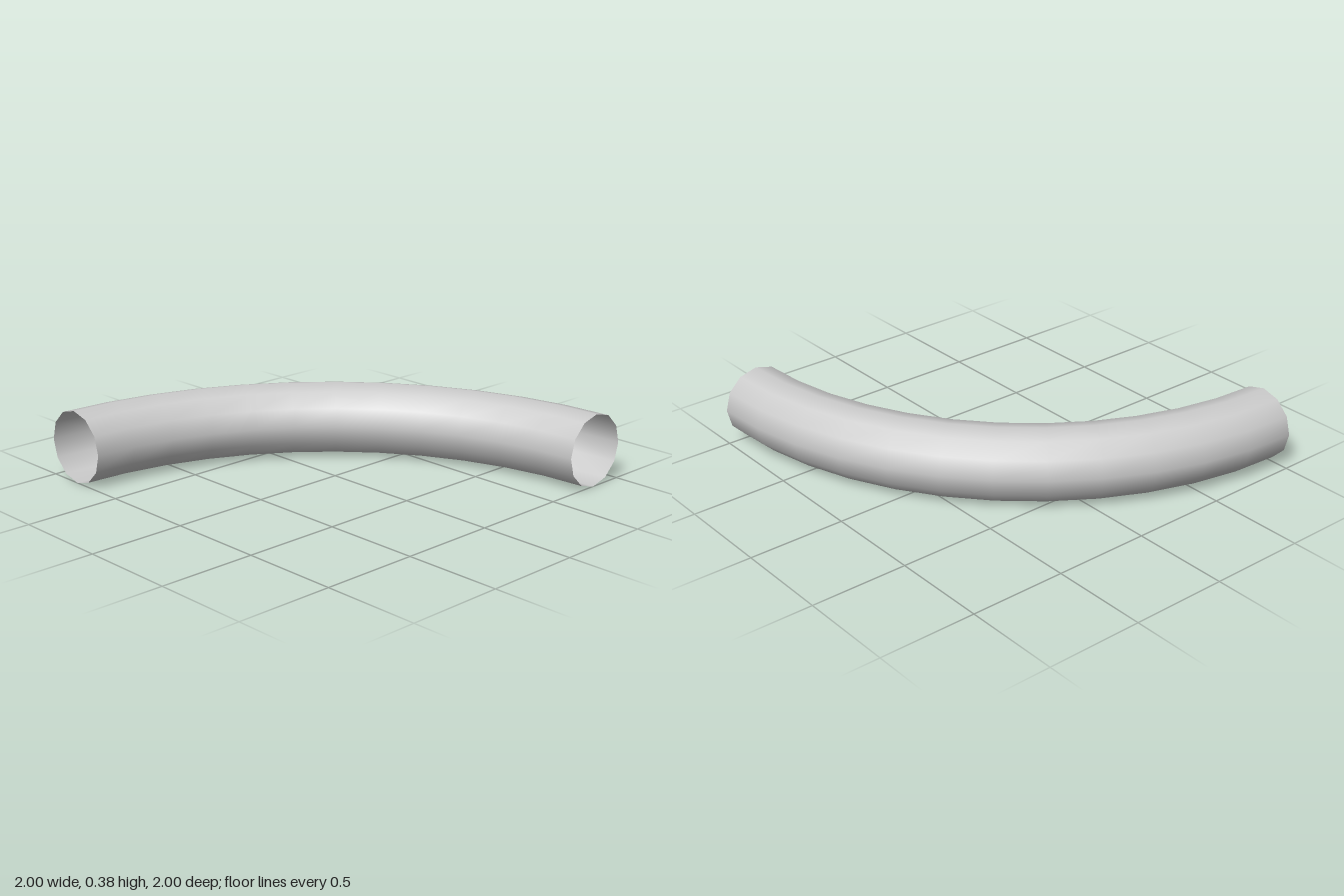
import * as THREE from 'three';

export function createModel() {
  const group = new THREE.Group();
  group.name = 'pipeBend';

  const tubeRadius = 0.1875;
  const bendRadius = 2 - tubeRadius;

  // Open-ended quarter bend, 12 sides around and 12 segments along
  const geometry = new THREE.TorusGeometry(bendRadius, tubeRadius, 12, 12, Math.PI / 2);
  geometry.rotateX(-Math.PI / 2); // lay flat, sweeping from +x to -z
  geometry.translate(-1, tubeRadius, 1);

  const material = new THREE.MeshStandardMaterial({ color: 0xcccccc, side: THREE.DoubleSide });
  const pipe = new THREE.Mesh(geometry, material);
  pipe.name = 'curvedPipe';
  group.add(pipe);

  return group;
}
